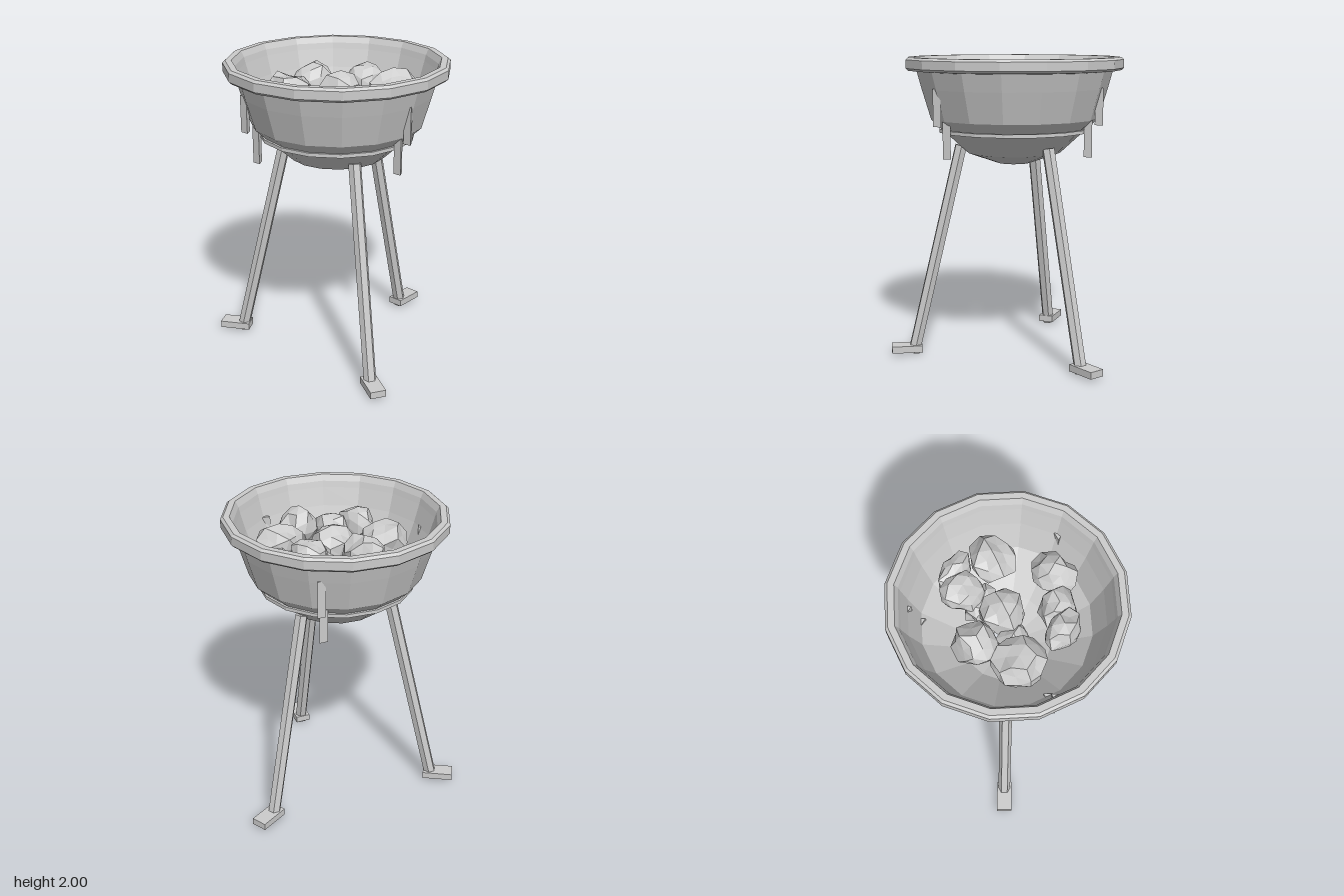
import * as THREE from 'three';

const CZ = 0.055; // bowl axis offset in z
const steel = new THREE.MeshStandardMaterial({ color: 0xcccccc, flatShading: true });
steel.name = 'light grey';

// small seeded generator
function seeded(seed) {
  let s = seed * 7919 + 17;
  return () => ((s = (s * 16807) % 2147483647) / 2147483647);
}

function add(parent, name, geometry) {
  const mesh = new THREE.Mesh(geometry, steel);
  mesh.name = name;
  parent.add(mesh);
  return mesh;
}

function lathe(points, closed) {
  const pts = points.map(([r, y]) => new THREE.Vector2(r, y));
  if (closed) pts.push(pts[0].clone());
  return new THREE.LatheGeometry(pts, 16);
}

// lump: icosphere whose corners are pushed in and out
function lump(seed) {
  const rnd = seeded(seed);
  for (let i = 0; i < 5; i++) rnd();
  const geo = new THREE.IcosahedronGeometry(1, 1);
  const pos = geo.attributes.position;
  const v = new THREE.Vector3();
  const scales = new Map();
  for (let i = 0; i < pos.count; i++) {
    v.fromBufferAttribute(pos, i);
    const key = v.toArray().map((c) => Math.round(c * 100)).join();
    if (!scales.has(key)) scales.set(key, 0.76 + 0.36 * rnd());
    v.multiplyScalar(scales.get(key));
    pos.setXYZ(i, v.x, v.y, v.z);
  }
  geo.computeVertexNormals();
  return geo;
}

export function createModel() {
  const group = new THREE.Group();
  const body = new THREE.Group();
  body.name = 'fireBowl';
  body.position.z = CZ;
  group.add(body);

  // bowl wall with thickness, rolled rim and a drain hole
  add(body, 'bowl', lathe([
    [0.1, 1.3], [0.11, 1.3], [0.31, 1.37], [0.56, 1.6], [0.62, 1.8], [0.65, 1.91],
    [0.705, 1.915], [0.722, 1.93], [0.722, 1.985], [0.705, 2], [0.665, 2],
    [0.645, 1.96], [0.635, 1.92], [0.6, 1.8], [0.53, 1.61], [0.29, 1.4], [0.1, 1.33],
  ], true));

  // band under the widest part
  add(body, 'band', lathe([[0.47, 1.512], [0.505, 1.512], [0.505, 1.535], [0.47, 1.535]], true));

  // three pairs of vertical pegs through the wall
  for (let i = 0; i < 3; i++) {
    const arm = new THREE.Group();
    arm.name = 'pegPair';
    arm.rotation.y = (i * Math.PI * 2) / 3;
    body.add(arm);
    [[0.598, 1.57, 1.81], [0.526, 1.36, 1.62]].forEach(([r, y0, y1]) => {
      const peg = add(arm, 'peg', new THREE.CylinderGeometry(0.032, 0.032, y1 - y0, 3));
      peg.position.set(r, (y0 + y1) / 2, 0.014);
      peg.rotation.y = Math.PI;
    });
  }

  // three splayed hexagonal legs with flat feet
  for (let i = 0; i < 3; i++) {
    const leg = new THREE.Group();
    leg.name = 'leg';
    leg.rotation.y = Math.PI + (i * Math.PI * 2) / 3;
    body.add(leg);
    const top = new THREE.Vector3(0, 1.42, 0.355);
    const bottom = new THREE.Vector3(0, 0.01, 0.69);
    const dir = top.clone().sub(bottom);
    const geo = new THREE.CylinderGeometry(0.042, 0.042, dir.length(), 6);
    geo.rotateY(Math.PI / 6);
    const post = add(leg, 'legPost', geo);
    post.position.copy(top).add(bottom).multiplyScalar(0.5);
    post.rotation.x = Math.atan2(dir.z, dir.y);
    const foot = add(leg, 'foot', new THREE.BoxGeometry(0.104, 0.046, 0.205));
    foot.position.set(0, 0.042, 0.737);
  }

  // heap of coals: x, y, z, half sizes
  [
    [-0.26, 1.79, 0.0, 0.145, 0.14, 0.15],
    [0.0, 1.77, 0.02, 0.145, 0.14, 0.145],
    [-0.02, 1.8, -0.24, 0.135, 0.13, 0.14],
    [0.08, 1.76, -0.37, 0.14, 0.12, 0.09],
    [0.25, 1.81, -0.2, 0.145, 0.13, 0.15],
    [0.38, 1.76, 0.16, 0.125, 0.14, 0.15],
    [-0.23, 1.78, 0.27, 0.16, 0.14, 0.16],
    [0.2, 1.74, 0.3, 0.135, 0.13, 0.13],
    [0.08, 1.78, 0.4, 0.14, 0.12, 0.11],
    [-0.1, 1.7, 0.16, 0.11, 0.11, 0.11],
    [0.0, 1.7, -0.13, 0.13, 0.11, 0.11],
  ].forEach(([x, y, z, a, b, c], i) => {
    const coal = add(group, 'coal', lump(i + 3));
    coal.position.set(x, y, z);
    coal.scale.set(a, b, c);
  });
  return group;
}
